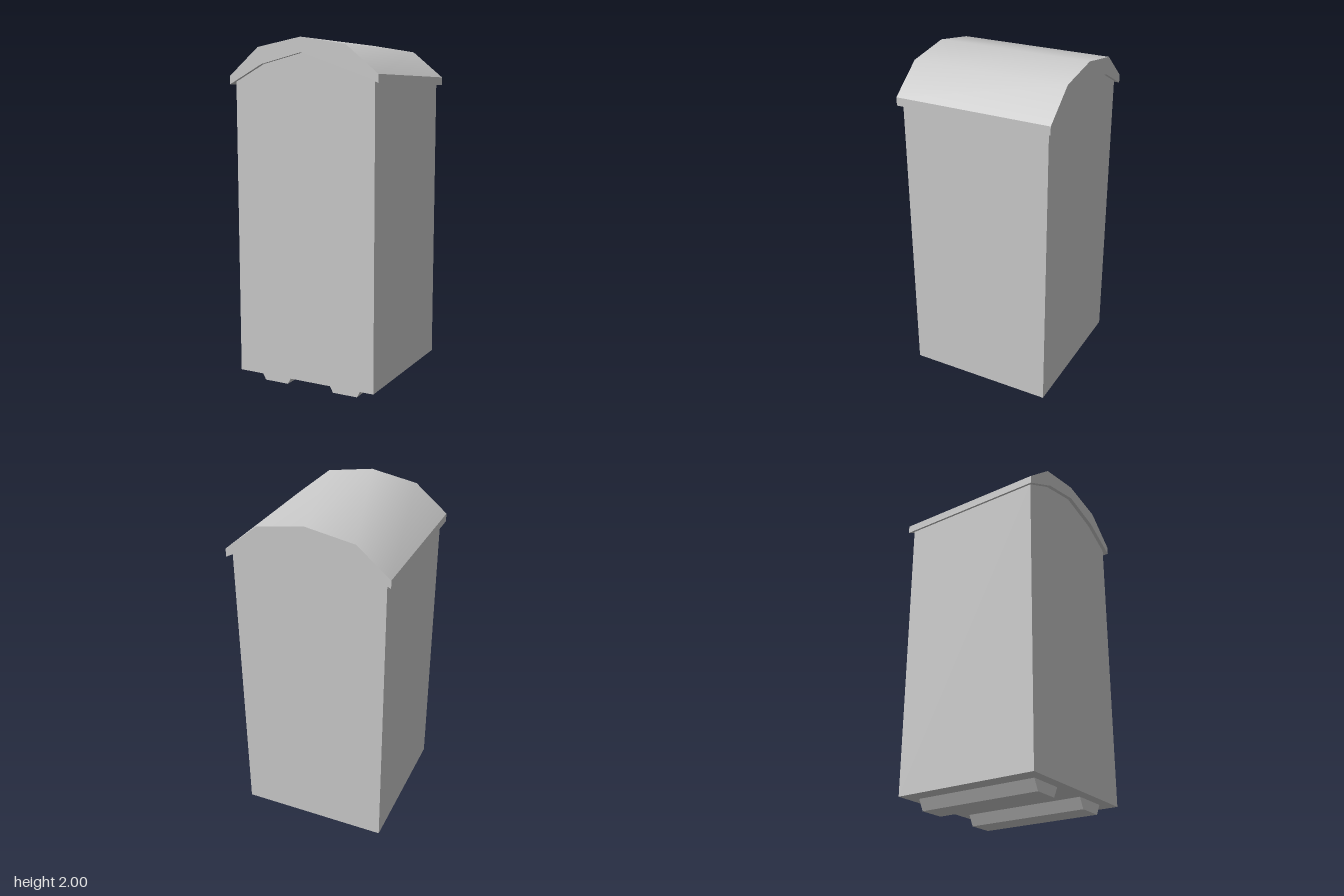
import * as THREE from 'three';
import { toCreasedNormals } from 'three/addons/utils/BufferGeometryUtils.js';

const material = new THREE.MeshStandardMaterial({ color: 0xcccccc });

// Extrudes an x/y outline along z, centred on z = 0
function prism(name, outline, depth) {
  const shape = new THREE.Shape(outline.map(([x, y]) => new THREE.Vector2(x, y)));
  const geometry = new THREE.ExtrudeGeometry(shape, { depth, bevelEnabled: false });
  geometry.translate(0, 0, -depth / 2);
  const mesh = new THREE.Mesh(toCreasedNormals(geometry, 0.7), material);
  mesh.name = name;
  return mesh;
}

export function createModel() {
  const model = new THREE.Group();
  model.name = 'cabinet';

  // Tall box whose top follows the underside of the roof
  model.add(prism('body', [
    [-0.437, 0.062], [0.437, 0.062], [0.437, 1.765], [0.25, 1.86],
    [0, 1.917], [-0.25, 1.86], [-0.437, 1.765],
  ], 0.874));

  // Curved roof overhanging on all sides
  model.add(prism('roof', [
    [0.465, 1.75], [0.465, 1.797], [0.275, 1.953], [0, 2], [-0.275, 1.953],
    [-0.465, 1.797], [-0.465, 1.75], [-0.25, 1.86], [0, 1.917], [0.25, 1.86],
  ], 0.918));

  // Two tapered runners underneath
  for (const [side, name] of [[1, 'leftRunner'], [-1, 'rightRunner']]) {
    const runner = prism(name, [
      [-0.077, 0], [0.077, 0], [0.11, 0.062], [-0.11, 0.062],
    ], 0.75);
    runner.position.x = side * 0.228;
    model.add(runner);
  }

  return model;
}
